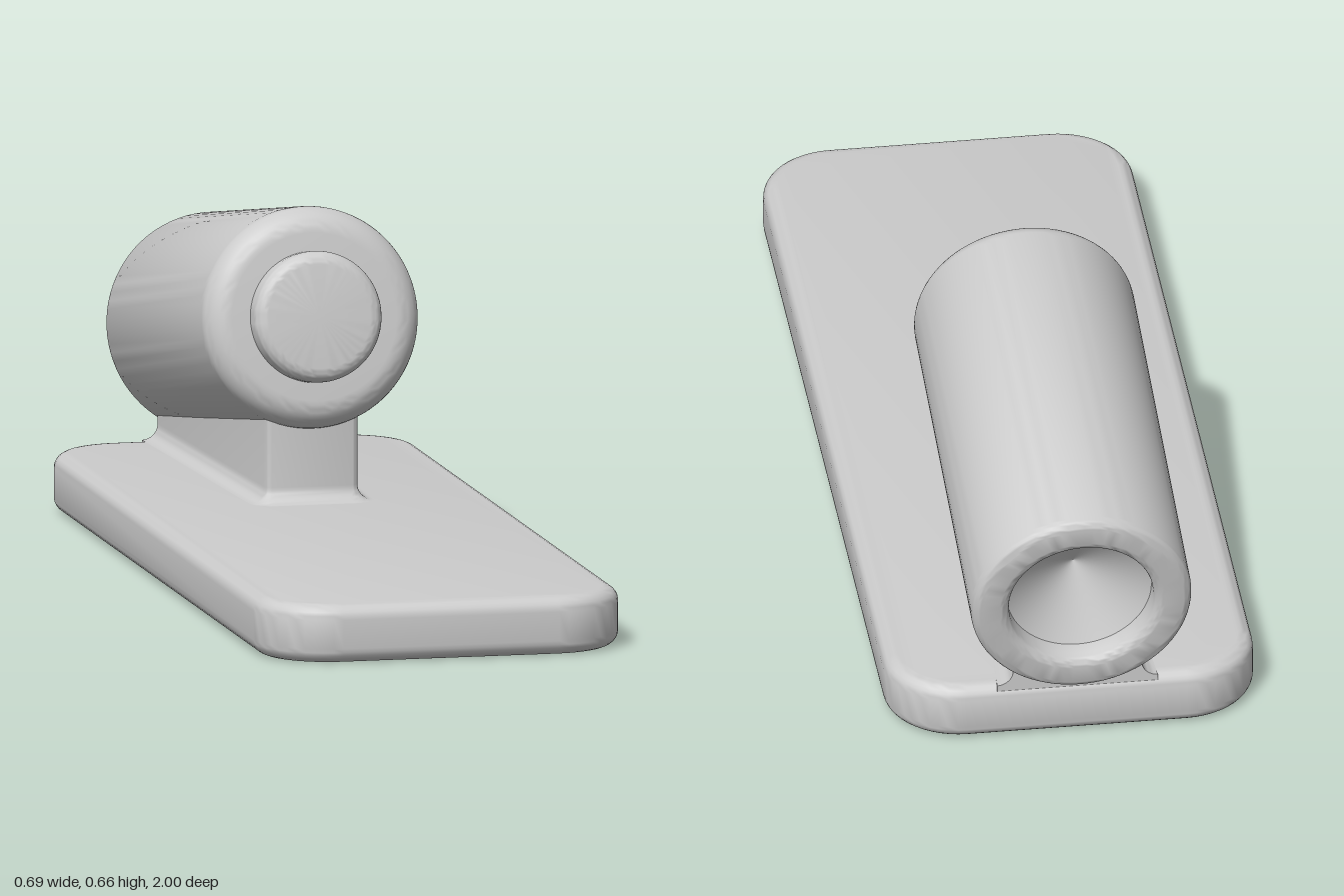
import * as THREE from 'three';
import { toCreasedNormals } from 'three/addons/utils/BufferGeometryUtils.js';

const material = new THREE.MeshStandardMaterial({ color: 0xcccccc });
const TILT = THREE.MathUtils.degToRad(10);
const TAIL = { y: 0.313, z: -0.966 }; // centre of the tube's rear opening

function part(name, geometry) {
  const mesh = new THREE.Mesh(toCreasedNormals(geometry, 0.6), material);
  mesh.name = name;
  return mesh;
}

// Points on an arc, angles in degrees
function arc(cx, cy, r, from, to, steps = 8) {
  return Array.from({ length: steps + 1 }, (_, i) => {
    const a = THREE.MathUtils.degToRad(from + ((to - from) * i) / steps);
    return new THREE.Vector2(cx + r * Math.cos(a), cy + r * Math.sin(a));
  });
}

// Rounded slab with softened edges
function baseGeometry() {
  const w = 0.345, zBack = -0.905, zFront = 1, r = 0.14, b = 0.028, h = 0.11;
  const outline = new THREE.Shape([
    ...arc(w - r, -zBack - r, r, 0, 90, 12),
    ...arc(-w + r, -zBack - r, r, 90, 180, 12),
    ...arc(-w + r, -zFront + r, r, 180, 270, 12),
    ...arc(w - r, -zFront + r, r, 270, 360, 12),
  ]);
  const g = new THREE.ExtrudeGeometry(outline, {
    depth: h - 2 * b, bevelThickness: b, bevelSize: b, bevelOffset: -b, bevelSegments: 6,
  });
  return g.rotateX(-Math.PI / 2).translate(0, b, 0);
}

// Wedge that widens to the rear, flares into the base and follows the tube's slope
function pedestalGeometry() {
  const top = 0.11, fillet = 0.03, zBack = -0.9;
  const outline = (o) => {
    const side = [new THREE.Vector2(0.12 + o, zBack), ...arc(0.073, -0.16, 0.015 + o, 0, 90, 6)];
    return [...side, ...side.map((p) => new THREE.Vector2(-p.x, p.y)).reverse()];
  };
  const levels = [{ o: fillet, y: 0.07 }];
  for (let i = 0; i <= 8; i++) {
    const a = (i / 8) * Math.PI / 2;
    levels.push({ o: fillet * (1 - Math.sin(a)), y: top + fillet * (1 - Math.cos(a)) });
  }
  levels.push({ o: 0, y: null }); // last level lies inside the tube wall
  const position = [], index = [];
  const n = outline(0).length;
  levels.forEach(({ o, y }, k) => {
    outline(o).forEach((p, i) => {
      const slope = TAIL.y + (p.y - TAIL.z) * Math.tan(TILT) - 0.155;
      position.push(p.x, y ?? slope, p.y);
      if (k === 0) return;
      const a = (k - 1) * n + i, b = (k - 1) * n + ((i + 1) % n);
      index.push(a, a + n, b, b, a + n, b + n);
    });
  });
  const g = new THREE.BufferGeometry();
  g.setAttribute('position', new THREE.Float32BufferAttribute(position, 3));
  g.setIndex(index);
  return g;
}

export function createModel() {
  const model = new THREE.Group();
  model.name = 'tubeOnBase';
  model.add(part('base', baseGeometry()), part('pedestal', pedestalGeometry()));

  const barrel = new THREE.Group();
  barrel.name = 'barrel';
  barrel.position.set(0, TAIL.y, TAIL.z);
  barrel.rotation.x = Math.PI / 2 - TILT;

  // Tube with a conical rear bore, rounded rim and rounded front shoulder
  const R = 0.206, L = 0.85;
  barrel.add(part('tube', new THREE.LatheGeometry([
    new THREE.Vector2(0, 0.13),
    new THREE.Vector2(0.135, 0.045),
    ...arc(0.155, 0.02, 0.02, 180, 270),
    ...arc(R - 0.02, 0.02, 0.02, 270, 360),
    ...arc(R - 0.05, L - 0.05, 0.05, 0, 90, 10),
    new THREE.Vector2(0, L),
  ], 80)));

  // Round button on the front face
  barrel.add(part('frontButton', new THREE.LatheGeometry([
    new THREE.Vector2(0.122, L - 0.01),
    ...arc(0.122 - 0.025, L + 0.02, 0.025, 0, 90),
    new THREE.Vector2(0, L + 0.045),
  ], 80)));

  model.add(barrel);
  return model;
}
